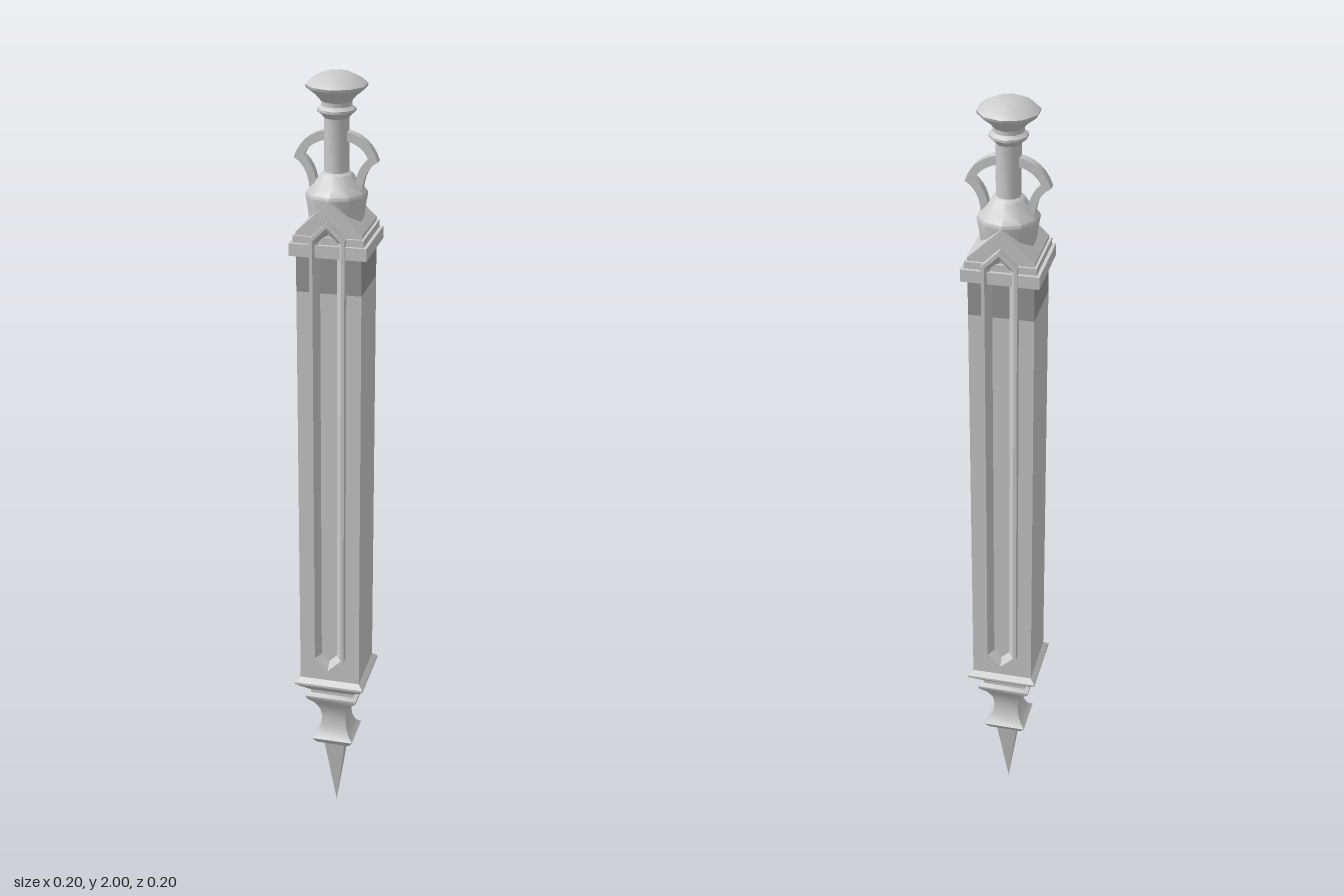
import * as THREE from 'three';
import { toCreasedNormals } from 'three/addons/utils/BufferGeometryUtils.js';

const grey = new THREE.MeshStandardMaterial({ color: 0xcccccc });
const darkGrey = new THREE.MeshStandardMaterial({ color: 0x999999 });

const vectors = (pairs) => pairs.map(([x, y]) => new THREE.Vector2(x, y));

function add(parent, name, geometry, material = grey) {
  const mesh = new THREE.Mesh(geometry, material);
  mesh.name = name;
  parent.add(mesh);
  return mesh;
}

// Box spanning two heights, with a square plan
function block(parent, name, half, y0, y1, material) {
  const mesh = add(parent, name, new THREE.BoxGeometry(half * 2, y1 - y0, half * 2), material);
  mesh.position.y = (y0 + y1) / 2;
}

// Turned profile of [radius, height] pairs, listed upwards
function turned(profile, sides, crease) {
  return toCreasedNormals(new THREE.LatheGeometry(vectors(profile), sides), crease);
}

// Square-plan moulding: a four-sided lathe turned to face the axes
function squareTurned(profile) {
  const points = vectors(profile.map(([half, y]) => [half * Math.SQRT2, y]));
  return toCreasedNormals(new THREE.LatheGeometry(points, 4, Math.PI / 4), 0.7);
}

// Tall hexagonal outline with pointed ends
function pointedOutline(half, top, bottom) {
  return [
    [half, bottom + half], [half, top - half], [0, top],
    [-half, top - half], [-half, bottom + half], [0, bottom],
  ];
}

// Frame swept through cross-section loops: outer wall, flat face, inner bevel
function frameGeometry() {
  const loops = [
    [0.042, 1.677, 0.465, 0.07],
    [0.042, 1.677, 0.465, 0.098],
    [0.034, 1.665, 0.477, 0.098],
    [0.02, 1.645, 0.497, 0.08],
  ].map(([half, top, bottom, z]) => pointedOutline(half, top, bottom).map(([x, y]) => [x, y, z]));
  const positions = [];
  for (let l = 0; l < loops.length - 1; l++) {
    for (let i = 0; i < 6; i++) {
      const j = (i + 1) % 6;
      const a = loops[l][i], b = loops[l][j], c = loops[l + 1][j], d = loops[l + 1][i];
      positions.push(...a, ...b, ...c, ...a, ...c, ...d);
    }
  }
  const geometry = new THREE.BufferGeometry();
  geometry.setAttribute('position', new THREE.Float32BufferAttribute(positions, 3));
  geometry.computeVertexNormals();
  return geometry;
}

// Curved handle meeting the shaft above and the collar below
function handleGeometry() {
  const shape = new THREE.Shape();
  shape.moveTo(0.02, 1.868);
  shape.quadraticCurveTo(0.08, 1.858, 0.099, 1.8);
  shape.quadraticCurveTo(0.066, 1.782, 0.062, 1.73);
  shape.lineTo(0.045, 1.74);
  shape.quadraticCurveTo(0.05, 1.785, 0.076, 1.806);
  shape.quadraticCurveTo(0.062, 1.838, 0.02, 1.846);
  const geometry = new THREE.ExtrudeGeometry(shape, { depth: 0.022, bevelEnabled: false, curveSegments: 6 });
  geometry.translate(0, 0, -0.011);
  return toCreasedNormals(geometry, 0.6);
}

export function createModel() {
  const model = new THREE.Group();
  model.name = 'spirePendant';

  // Square shaft with a darker band below the cornice
  block(model, 'body', 0.078, 0.43, 1.5);
  block(model, 'upperBand', 0.078, 1.5, 1.595, darkGrey);
  block(model, 'cornice', 0.092, 1.59, 1.62);
  block(model, 'corniceStep', 0.084, 1.615, 1.637);

  // Gabled roof, ridge running front to back
  const gable = new THREE.Shape(vectors([[-0.078, 1.62], [0.078, 1.62], [0.078, 1.645], [0, 1.72], [-0.078, 1.645]]));
  const roof = new THREE.ExtrudeGeometry(gable, { depth: 0.156, bevelEnabled: false });
  roof.translate(0, 0, -0.078);
  add(model, 'roof', roof);

  // Pointed frames on the front and back
  const frame = frameGeometry();
  add(model, 'frontFrame', frame);
  add(model, 'backFrame', frame).rotation.y = Math.PI;

  // Square mouldings and spike below the body
  add(model, 'lowerFinial', squareTurned([
    [0, 0], [0.027, 0.2], [0.044, 0.213], [0.055, 0.23], [0.043, 0.242],
    [0.035, 0.262], [0.032, 0.29], [0.036, 0.315], [0.048, 0.34], [0.067, 0.364],
    [0.067, 0.371], [0.056, 0.377], [0.056, 0.386], [0.068, 0.397], [0.09, 0.418],
    [0.09, 0.424], [0.078, 0.436], [0, 0.436],
  ]));

  // Ten-sided collar, stem, ring and knob
  add(model, 'upperFinial', turned([
    [0.062, 1.64], [0.068, 1.69], [0.073, 1.718], [0.071, 1.726], [0.052, 1.744],
    [0.038, 1.767], [0.029, 1.772], [0.029, 1.896], [0.034, 1.902], [0.045, 1.911],
    [0.045, 1.917], [0.036, 1.924], [0.036, 1.934], [0.048, 1.948], [0.07, 1.965],
    [0.072, 1.972], [0.058, 1.984], [0.032, 1.996], [0, 2],
  ], 10, 0.66));

  // Handles on both sides of the stem
  const handle = handleGeometry();
  add(model, 'leftHandle', handle);
  add(model, 'rightHandle', handle).rotation.y = Math.PI;

  return model;
}
